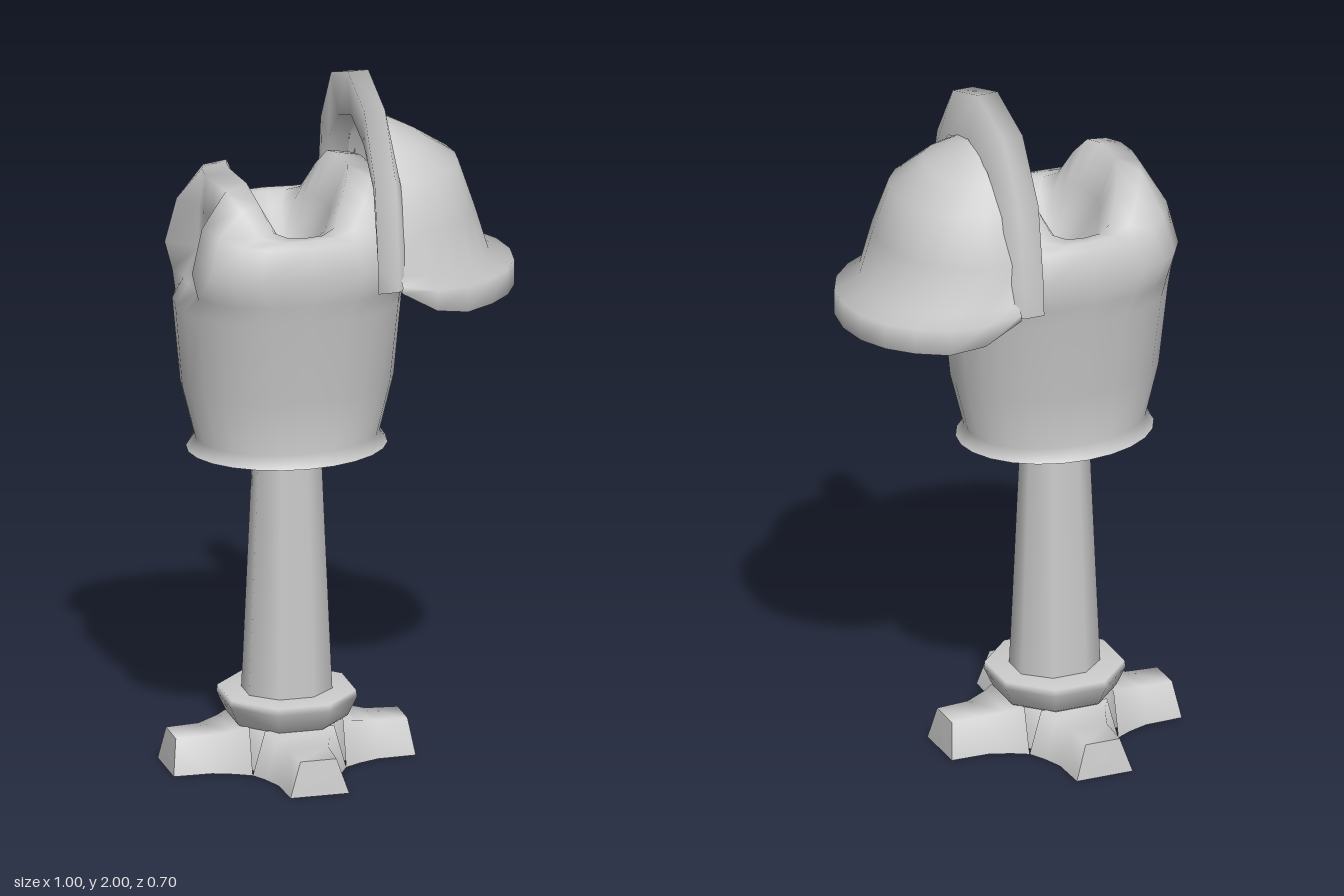
import * as THREE from 'three';

const grey = new THREE.MeshStandardMaterial({ color: 0xcccccc });
const thin = new THREE.MeshStandardMaterial({ color: 0xcccccc, side: THREE.DoubleSide });
const CX = -0.15; // axis of the stand and torso

// Skins a list of cross-sections (arrays of [x, y, z]) with smooth normals
function loft(rows, closed) {
  const n = rows[0].length, index = [];
  for (let i = 0; i < rows.length - 1; i++) {
    for (let j = 0; j < (closed ? n : n - 1); j++) {
      const k = (j + 1) % n;
      const a = i * n + j, b = i * n + k, c = a + n, d = b + n;
      index.push(a, c, b, b, c, d);
    }
  }
  const g = new THREE.BufferGeometry();
  g.setAttribute('position', new THREE.Float32BufferAttribute(rows.flat(2), 3));
  g.setIndex(index);
  g.computeVertexNormals();
  return g;
}

function lathe(points, sides) {
  return new THREE.LatheGeometry(points.map(p => new THREE.Vector2(...p)), sides, Math.PI / sides);
}

function add(parent, name, geometry, material = grey) {
  const mesh = new THREE.Mesh(geometry, material);
  mesh.name = name;
  parent.add(mesh);
  return mesh;
}

// Four-footed base, collar and tapered pole
function makeStand() {
  const stand = new THREE.Group();
  stand.name = 'stand';
  stand.position.x = CX;
  // distance from centre, top height, bottom half-width, top half-width
  const sections = [[0.135, 0.128, 0.135, 0.1], [0.18, 0.115, 0.11, 0.075], [0.24, 0.103, 0.088, 0.055], [0.335, 0.1, 0.085, 0.052]];
  const rows = sections.map(([r, y, b, t], i) => {
    const foot = i === 3 ? 0.35 : r;
    return [[foot, 0, b], [r, y, t], [r, y, -t], [foot, 0, -b]];
  });
  const top = loft(rows, false);
  const tip = loft([rows[3], rows[3].map(() => [0.345, 0.04, 0])], true);
  const sole = loft([[[0, 0, 0], [0, 0, 0]], ...rows.map(row => [row[3], row[0]])], false);
  for (let i = 0; i < 4; i++) {
    const foot = new THREE.Group();
    foot.name = 'foot';
    foot.rotation.y = i * Math.PI / 2;
    add(foot, 'footTop', top, thin);
    add(foot, 'footTip', tip, thin);
    add(foot, 'footSole', sole);
    stand.add(foot);
  }
  add(stand, 'baseHub', lathe([[0.18, 0.005], [0.16, 0.13], [0.1, 0.14]], 8));
  add(stand, 'collar', lathe([[0.15, 0.115], [0.172, 0.13], [0.198, 0.185], [0.195, 0.205], [0.1, 0.205]], 8));
  add(stand, 'pole', lathe([[0.13, 0.2], [0.097, 0.94]], 8)).scale.z = 0.87;
  return stand;
}

// Breastplate with dented arm openings, raised shoulder straps and a neck hollow
function makeTorso() {
  const torso = new THREE.Group();
  torso.name = 'torso';
  const N = 24;
  // y, half-width x, half-depth z, arm dent, strap lift, squareness exponent
  const profile = [
    [0.925, 0.285, 0.235, 0, 0, 1],
    [0.96, 0.262, 0.205, 0, 0, 0.9],
    [1.12, 0.302, 0.225, 0, 0, 0.85],
    [1.36, 0.322, 0.262, 0, 0, 0.8],
    [1.42, 0.325, 0.275, 0.04, 0, 0.7],
    [1.5, 0.342, 0.288, 0.1, 0, 0.6],
    [1.59, 0.31, 0.27, 0.07, 0.04, 0.65],
    [1.6, 0.235, 0.24, 0, 0.135, 0.8],
    [1.6, 0.165, 0.21, 0, 0.15, 0.9],
    [1.57, 0.115, 0.175, 0, 0.05, 1],
    [1.51, 0.06, 0.1, 0, 0, 1],
    [1.5, 0.001, 0.001, 0, 0, 1],
  ];
  const rows = profile.map(([y, rx, rz, dent, lift, e]) => Array.from({ length: N }, (_, j) => {
    const t = j / N * Math.PI * 2, c = Math.cos(t), s = Math.sin(t), a = Math.abs(c);
    const x = Math.sign(c) * (rx * a ** e - (a > 0.95 ? dent : 0));
    return [CX + x, y + lift * THREE.MathUtils.smoothstep(a, 0.4, 0.95), rz * s];
  }));
  add(torso, 'breastplate', loft(rows, true), thin);
  const bottom = add(torso, 'torsoBottom', new THREE.CircleGeometry(1, N));
  bottom.rotation.x = Math.PI / 2;
  bottom.scale.set(0.285, 0.235, 1);
  bottom.position.set(CX, 0.925, 0);
  return torso;
}

// Shoulder guard: half dome with a flared lower rim and a standing collar
function makeShoulderGuard() {
  const guard = new THREE.Group();
  guard.name = 'shoulderGuard';
  guard.position.z = -0.015;
  const N = 12;
  // y, reach in x, half-depth in z, rise of the rim near the collar
  const profile = [
    [1.42, 0.32, 0.285, 0.03], [1.36, 0.37, 0.3, 0.085], [1.36, 0.4, 0.325, 0.085], [1.435, 0.4, 0.327, 0.03],
    [1.47, 0.325, 0.302, 0.02], [1.6, 0.285, 0.284, 0], [1.735, 0.24, 0.23, 0],
    [1.8, 0.14, 0.165, 0], [1.85, 0.05, 0.085, 0], [1.875, 0, 0.001, 0],
  ];
  const rows = profile.map(([y, rx, rz, rise]) => Array.from({ length: N + 1 }, (_, j) => {
    const t = (j / N - 0.5) * Math.PI, s = Math.sin(t), x = 0.1 + rx * Math.cos(t);
    return [x, y + rise * Math.max(0, (0.24 - x) / 0.14), rz * Math.sign(s) * Math.abs(s) ** 0.92];
  }));
  add(guard, 'guardShell', loft(rows, false), thin);

  // Standing collar: arch outlines swept across x
  const arch = (x, half) => [
    ...half.map(([z, y]) => [x, y, -z]),
    ...half.slice(0, -1).reverse().map(([z, y]) => [x, y, z]),
  ];
  const outer = [[0.325, 1.45], [0.322, 1.53], [0.285, 1.77], [0.175, 1.94], [0, 2]];
  const inner = [[0.292, 1.45], [0.285, 1.55], [0.235, 1.73], [0.135, 1.825], [0, 1.87]];
  add(guard, 'guardCollar', loft([
    arch(0.12, inner), arch(0.09, outer), arch(0.03, outer), arch(0.04, inner), arch(0.1, inner),
  ], false), thin);
  return guard;
}

export function createModel() {
  const model = new THREE.Group();
  model.name = 'armourStand';
  model.add(makeStand(), makeTorso(), makeShoulderGuard());
  return model;
}
